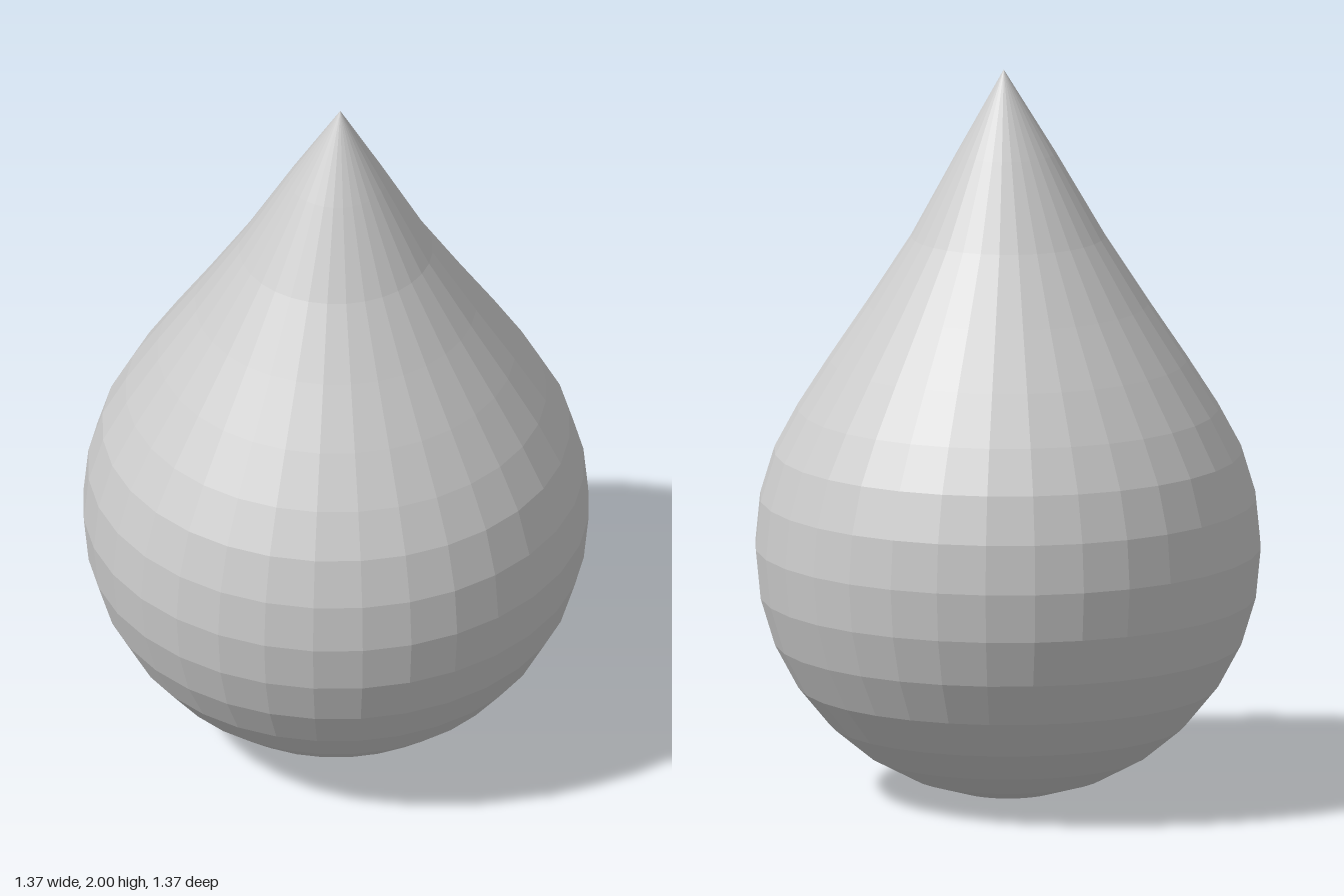
import * as THREE from 'three';

export function createModel() {
  const group = new THREE.Group();
  group.name = 'teardrop';

  // A faceted sphere whose upper rings are pulled up into a point
  const radius = 0.685, rings = 16;
  const lift = [0.625, 0.41, 0.22, 0.1, 0.03]; // raise per ring, from the tip down
  const shift = [0.012, 0.005]; // slight sideways lean of the tip
  const geometry = new THREE.SphereGeometry(radius, 32, rings);
  const pos = geometry.attributes.position;
  for (let i = 0; i < pos.count; i++) {
    const polar = Math.acos(THREE.MathUtils.clamp(pos.getY(i) / radius, -1, 1));
    const ring = Math.round((polar / Math.PI) * rings);
    pos.setX(i, pos.getX(i) + (shift[ring] ?? 0));
    pos.setY(i, pos.getY(i) + (lift[ring] ?? 0));
  }
  geometry.translate(0, 0.69, 0);
  geometry.computeVertexNormals();

  const drop = new THREE.Mesh(
    geometry,
    new THREE.MeshStandardMaterial({ color: 0xcccccc, flatShading: true })
  );
  drop.name = 'dropBody';
  group.add(drop);
  return group;
}
